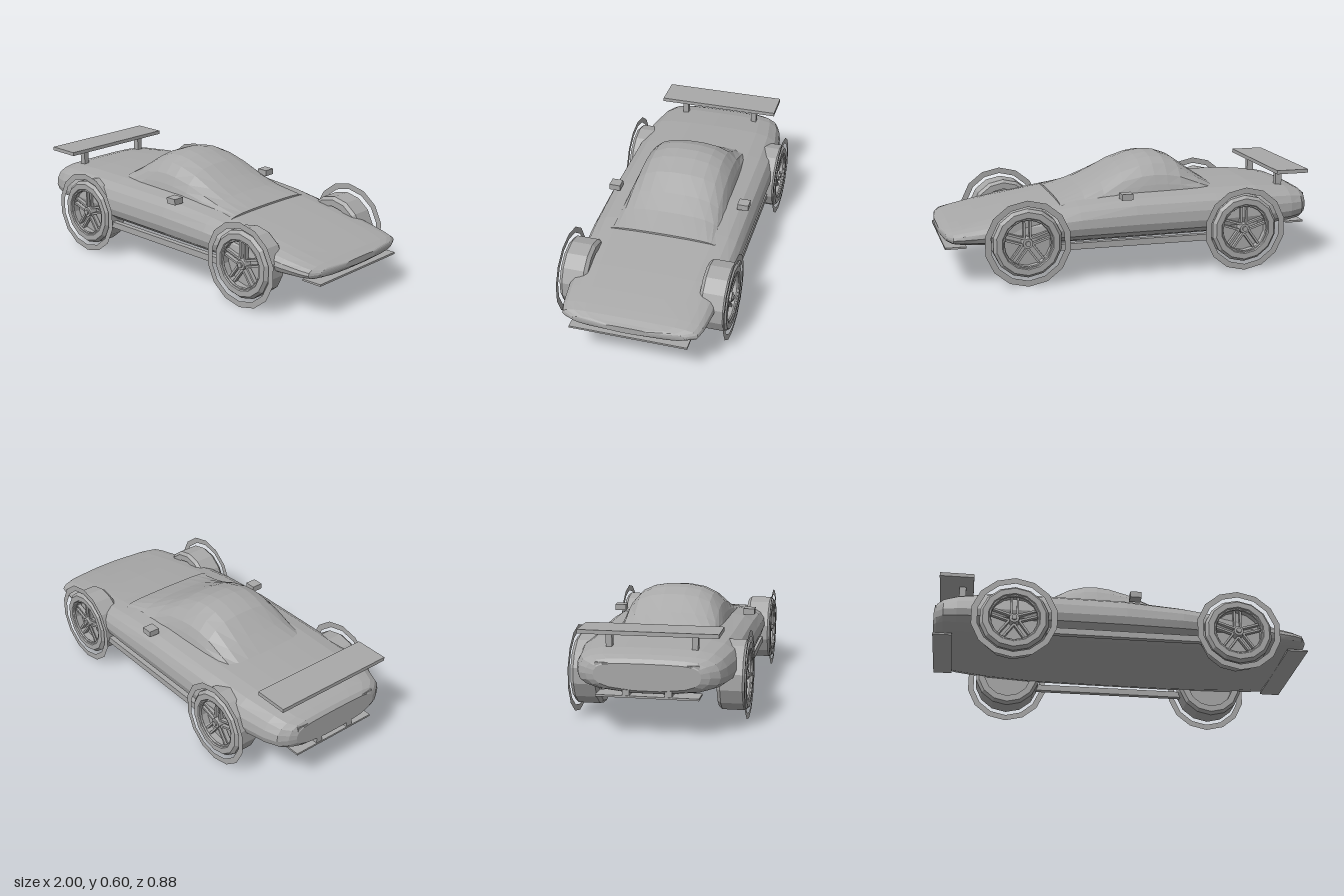
import * as THREE from 'three';

const grey = new THREE.MeshStandardMaterial({ color: 0xa8a8a8, flatShading: true, side: THREE.DoubleSide });
grey.name = 'plain grey';

function part(name, geometry, x = 0, y = 0, z = 0) {
  const mesh = new THREE.Mesh(geometry, grey);
  mesh.name = name;
  mesh.position.set(x, y, z);
  return mesh;
}

// box given by its extents along each axis
function block(name, [x0, x1], [y0, y1], [z0, z1]) {
  return part(name, new THREE.BoxGeometry(x1 - x0, y1 - y0, z1 - z0),
    (x0 + x1) / 2, (y0 + y1) / 2, (z0 + z1) / 2);
}

// stations: [x, half width, top, middle, bottom]; outline: half section from top to bottom
function loft(stations, outline) {
  const mirrored = outline.slice(1, -1).reverse().map(([z, y]) => [-z, y]);
  const ring = [...outline, ...mirrored];
  const n = ring.length, positions = [], index = [];
  for (const [x, w, top, mid, bot] of stations) {
    for (const [z, y] of ring) positions.push(x, mid + y * (y > 0 ? top - mid : mid - bot), z * w);
  }
  const last = stations.length - 1;
  for (let i = 0; i < last; i++) {
    for (let j = 0; j < n; j++) {
      const k = (j + 1) % n, a = i * n + j, c = i * n + k;
      index.push(a, c, a + n, c, c + n, a + n);
    }
  }
  for (let j = 1; j < n - 1; j++) {
    index.push(0, j + 1, j, last * n, last * n + j, last * n + j + 1);
  }
  const geometry = new THREE.BufferGeometry();
  geometry.setAttribute('position', new THREE.Float32BufferAttribute(positions, 3));
  geometry.setIndex(index);
  geometry.computeVertexNormals();
  return geometry;
}

// wheel with its axle along z and its outer face towards +z
function createWheel() {
  const wheel = new THREE.Group();
  const profile = [[0, -0.03], [0.13, -0.03], [0.13, -0.0725], [0.165, -0.0725], [0.18, -0.055],
    [0.18, 0.055], [0.165, 0.0725], [0.135, 0.0725], [0.125, 0.06], [0.125, 0.02], [0, 0.02]]
    .map(([r, y]) => new THREE.Vector2(r, y));
  wheel.add(part('tyre', new THREE.LatheGeometry(profile, 14).rotateX(Math.PI / 2)));
  wheel.add(part('archRing', new THREE.RingGeometry(0.193, 0.225, 14, 1, Math.PI / 2), 0, 0, 0.07));
  wheel.add(part('rimLip', new THREE.TorusGeometry(0.127, 0.008, 6, 20), 0, 0, 0.06));
  wheel.add(part('hub', new THREE.CylinderGeometry(0.026, 0.03, 0.045, 12).rotateX(Math.PI / 2), 0, 0, 0.042));
  wheel.add(part('hubCap', new THREE.CylinderGeometry(0.014, 0.014, 0.01, 10).rotateX(Math.PI / 2), 0, 0, 0.068));
  for (let i = 0; i < 5; i++) {
    for (const side of [-1, 1]) {
      const spoke = new THREE.BoxGeometry(0.011, 0.105, 0.022);
      spoke.translate(side * 0.016, 0.073, 0.04);
      spoke.rotateZ((i * 2 * Math.PI) / 5);
      wheel.add(part('spoke', spoke));
    }
  }
  return wheel;
}

export function createModel() {
  const car = new THREE.Group();
  car.name = 'racingCar';

  // body shell, from tail to nose
  const bodyOutline = [[0, 1], [0.35, 0.99], [0.65, 0.95], [0.82, 0.85], [0.93, 0.65], [0.985, 0.35],
    [1, 0], [0.97, -0.35], [0.88, -0.6], [0.7, -0.82], [0.25, -1], [0, -1]];
  car.add(part('body', loft([
    [-1, 0.26, 0.36, 0.3, 0.23],
    [-0.985, 0.3, 0.38, 0.3, 0.215],
    [-0.95, 0.345, 0.395, 0.295, 0.205],
    [-0.88, 0.37, 0.412, 0.29, 0.195],
    [-0.7, 0.4, 0.428, 0.285, 0.18],
    [-0.45, 0.41, 0.43, 0.28, 0.167],
    [0, 0.412, 0.425, 0.28, 0.163],
    [0.3, 0.41, 0.4, 0.275, 0.163],
    [0.45, 0.405, 0.376, 0.27, 0.165],
    [0.65, 0.39, 0.345, 0.26, 0.17],
    [0.8, 0.378, 0.315, 0.25, 0.18],
    [0.9, 0.365, 0.293, 0.245, 0.19],
    [0.95, 0.35, 0.28, 0.242, 0.2],
    [0.98, 0.29, 0.268, 0.242, 0.212],
    [1, 0.12, 0.262, 0.245, 0.228],
  ], bodyOutline)));

  // cabin bubble
  const cabinOutline = [[0, 1], [0.2, 0.995], [0.47, 0.935], [0.69, 0.8], [0.86, 0.55],
    [0.93, 0.32], [1, 0], [0, 0]];
  const cabinTop = [[-0.485, 0.428], [-0.39, 0.49], [-0.285, 0.565], [-0.21, 0.592], [-0.14, 0.598],
    [-0.07, 0.588], [0.035, 0.552], [0.145, 0.492], [0.25, 0.441], [0.385, 0.396]];
  car.add(part('cabin', loft(cabinTop.map(([x, top]) => {
    const t = (x + 0.485) / 0.87;
    return [x, 0.272 + 0.015 * t, top, 0.39 - 0.012 * t, 0.37];
  }), cabinOutline)));

  // wheels
  for (const x of [-0.585, 0.585]) {
    for (const side of [1, -1]) {
      const wheel = createWheel();
      wheel.name = (x > 0 ? 'front' : 'rear') + 'Wheel';
      wheel.position.set(x, 0.225, side * 0.3675);
      if (side < 0) wheel.rotation.y = Math.PI;
      car.add(wheel);
    }
  }

  // spoiler, splitter and rear plate
  car.add(block('rearWing', [-0.98, -0.8], [0.49, 0.51], [-0.34, 0.34]));
  car.add(block('frontSplitter', [0.88, 0.99], [0.187, 0.197], [-0.305, 0.305]));
  car.add(block('rearPlate', [-1, -0.9], [0.193, 0.203], [-0.25, 0.25]));

  // mirrored details
  for (const side of [1, -1]) {
    const span = (a, b) => (side > 0 ? [a, b] : [-b, -a]);
    car.add(block('wingPost', [-0.875, -0.84], [0.38, 0.49], span(0.195, 0.225)));
    car.add(block('mirror', [0.02, 0.08], [0.408, 0.44], span(0.33, 0.39)));
    car.add(block('sideSkirt', [-0.42, 0.42], [0.166, 0.2], span(0.365, 0.395)));
    car.add(block('tailLight', [-0.997, -0.95], [0.325, 0.36], span(0.16, 0.25)));
    car.add(block('exhaust', [-0.998, -0.92], [0.203, 0.235], span(0.085, 0.12)));
  }
  return car;
}
